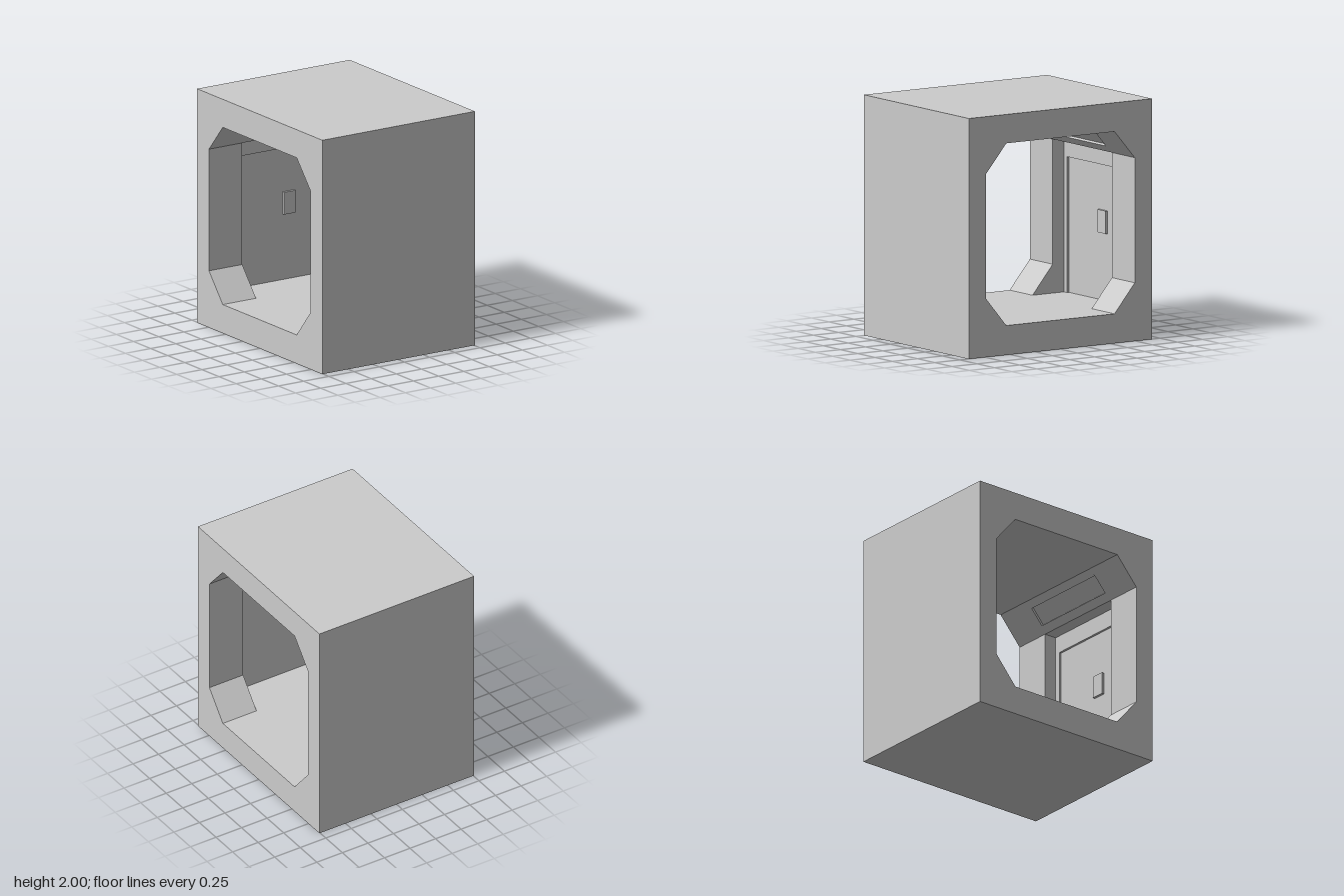
import * as THREE from 'three';

const HALF = 0.757; // half length of the corridor along x

// Mirror a half profile (bottom to top, u > 0) into a closed counter-clockwise loop
const loop = half => [...half, ...half.map(([u, y]) => [-u, y]).reverse()];

const upper = [[0.854, 1.525], [0.742, 1.525]];
const lamp = [[0.694, 1.581], [0.709, 1.594], [0.601, 1.719], [0.586, 1.706]];
const top = [[0.54, 1.76]];
const outer = loop([[0.915, 0], [0.915, 2]]);
const door = loop([[0.54, 0.245], [0.742, 0.485], [0.742, 1.525], ...top]);
const room = loop([[0.854, 0.245], ...upper, ...top]);
const litRoom = loop([[0.854, 0.245], ...upper, ...lamp, ...top]);
const panelRoom = loop([[0.874, 0.245], [0.874, 1.375], [0.854, 1.375], ...upper, ...lamp, ...top]);

// Sweep a loop (u = -z, y) along x; inward loops show their inside
function sweep(points, x0, x1, inward) {
  const p = inward ? [...points].reverse() : points;
  const pos = [];
  p.forEach(([u, y], i) => {
    const [v, w] = p[(i + 1) % p.length];
    const a0 = [x0, y, -u], a1 = [x1, y, -u], b0 = [x0, w, -v], b1 = [x1, w, -v];
    pos.push(...a0, ...b0, ...b1, ...a0, ...b1, ...a1);
  });
  const g = new THREE.BufferGeometry();
  g.setAttribute('position', new THREE.Float32BufferAttribute(pos, 3));
  g.computeVertexNormals();
  return g;
}

// Flat wall across x with an opening, facing +x or -x
function bulkhead(opening, x, facing) {
  const vec = pts => pts.map(([u, y]) => new THREE.Vector2(u, y));
  const shape = new THREE.Shape(vec(outer));
  shape.holes.push(new THREE.Path(vec(opening)));
  return new THREE.ShapeGeometry(shape).rotateY(facing * Math.PI / 2).translate(x, 0, 0);
}

export function createModel() {
  const model = new THREE.Group();
  model.name = 'corridorSection';
  const material = new THREE.MeshStandardMaterial({ color: 0xcccccc });
  const add = (parent, name, geometry) => {
    const mesh = new THREE.Mesh(geometry, material);
    mesh.name = name;
    parent.add(mesh);
  };

  // Outer casing and the middle of the interior
  add(model, 'outerCasing', sweep(outer, -HALF, HALF, false));
  add(model, 'interiorLining', sweep(panelRoom, -0.38, 0.38, true));

  // Each end: doorway, stepped recesses and one wall switch
  for (let i = 0; i < 2; i++) {
    const end = new THREE.Group();
    end.name = i ? 'rightEnd' : 'leftEnd';
    end.rotation.y = i * Math.PI;
    add(end, 'endFace', bulkhead(door, HALF, 1));
    add(end, 'doorwayLining', sweep(door, 0.427, HALF, true));
    add(end, 'doorwayBack', bulkhead(door, 0.427, -1));
    add(end, 'roomEdge', sweep(room, 0.41, 0.427, true));
    add(end, 'lampRecessEnd', bulkhead(room, 0.41, -1));
    add(end, 'lampRecessEdge', sweep(litRoom, 0.38, 0.41, true));
    add(end, 'wallPanelEnd', bulkhead(litRoom, 0.38, -1));
    add(end, 'wallSwitch', new THREE.BoxGeometry(0.115, 0.19, 0.03).translate(0.118, 0.9, -0.867));
    model.add(end);
  }
  return model;
}
